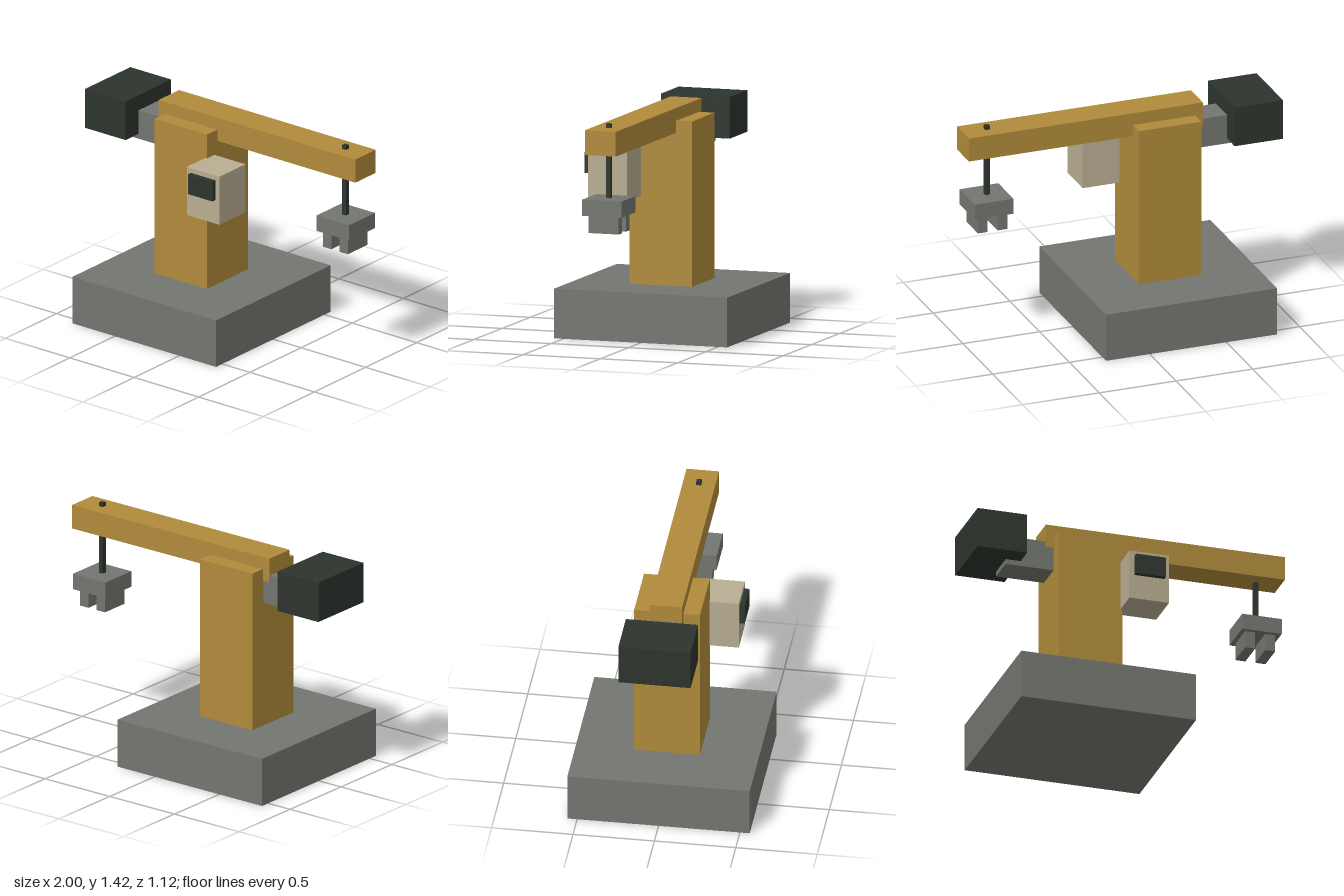
import * as THREE from 'three';

export function createModel() {
  const model = new THREE.Group();
  model.name = 'gripperCrane';

  const material = (name, color) => {
    const m = new THREE.MeshStandardMaterial({ color });
    m.name = name;
    return m;
  };
  const ochre = material('ochre paint', 0xb08b3a);
  const grey = material('grey metal', 0x737670);
  const dark = material('dark green black', 0x2d342d);
  const beige = material('beige casing', 0xb9ae92);

  // Box given by its extents along each axis
  const box = (name, mat, [x0, x1], [y0, y1], [z0, z1]) => {
    const mesh = new THREE.Mesh(new THREE.BoxGeometry(x1 - x0, y1 - y0, z1 - z0), mat);
    mesh.position.set((x0 + x1) / 2, (y0 + y1) / 2, (z0 + z1) / 2);
    mesh.name = name;
    model.add(mesh);
  };

  // Base and tower
  box('base', grey, [-0.83, 0.285], [0, 0.305], [-0.56, 0.56]);
  box('tower', ochre, [-0.475, -0.07], [0.305, 1.32], [-0.202, 0.202]);

  // Boom with its counterweight
  box('boom', ochre, [-0.525, 1], [1.246, 1.398], [-0.1, 0.1]);
  box('counterweightBracket', grey, [-0.78, -0.47], [1.1, 1.287], [-0.095, 0.095]);
  box('counterweight', dark, [-1, -0.685], [1.132, 1.387], [-0.222, 0.222]);

  // Control box with screen
  box('controlBox', beige, [-0.083, 0.17], [0.847, 1.163], [0.128, 0.382]);
  box('screen', dark, [-0.05, 0.14], [1.003, 1.132], [0.38, 0.414]);

  // Lifting rod and gripper
  box('liftRod', dark, [0.83, 0.86], [0.96, 1.423], [-0.015, 0.015]);
  box('gripperPlate', grey, [0.72, 0.972], [0.867, 0.967], [-0.127, 0.127]);
  for (const [side, x] of [['right', 0.78], ['left', 0.908]]) {
    box(side + 'Finger', grey, [x - 0.032, x + 0.032], [0.759, 0.867], [-0.097, 0.097]);
  }

  return model;
}
